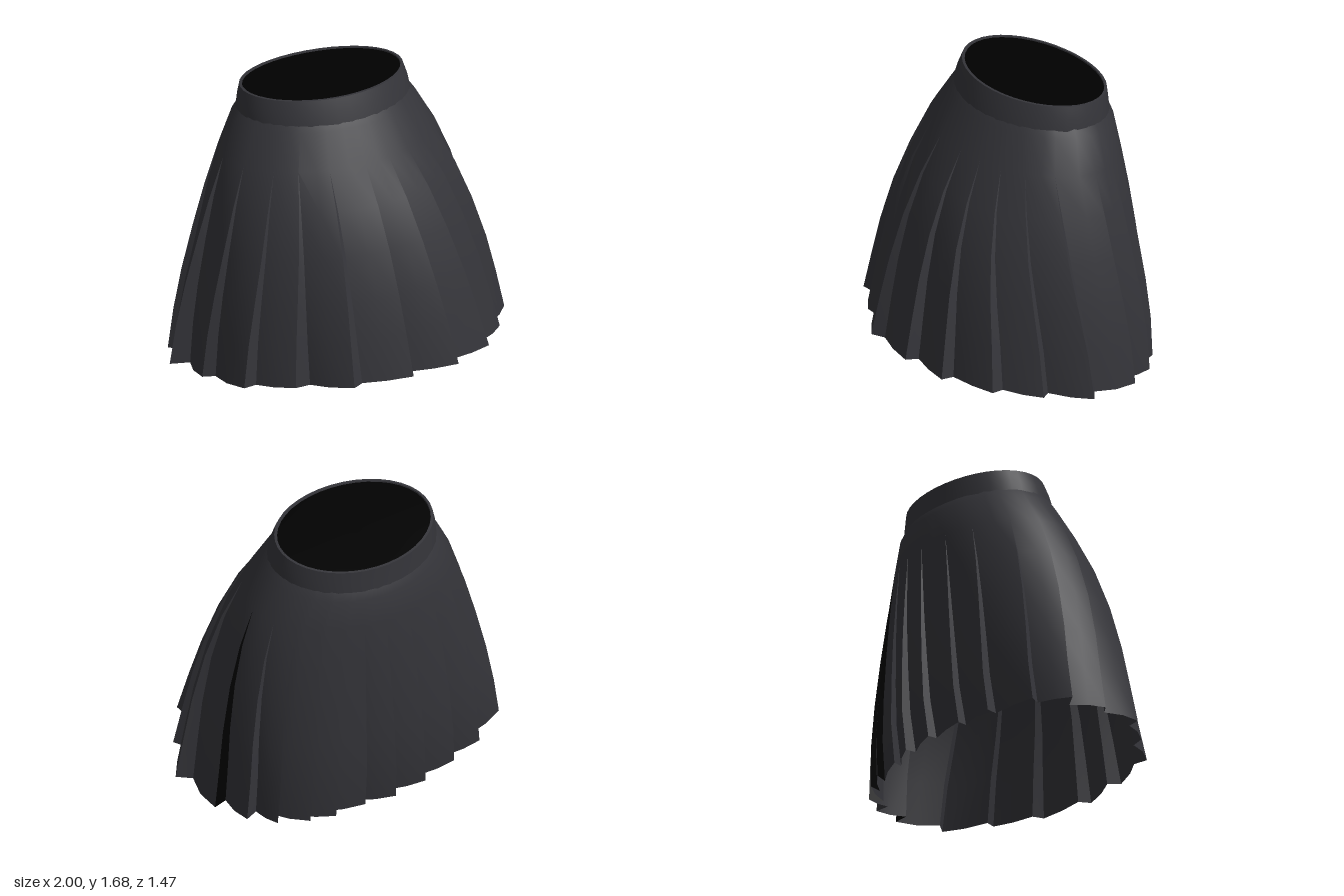
import * as THREE from 'three';
import { mergeGeometries, toCreasedNormals } from 'three/addons/utils/BufferGeometryUtils.js';

// Tilted oval rings, top to hem: [half width, front z, back z, front y, back y, pleat depth 0..1]
const RINGS = [
  [0.512, 0.13, -0.64, 1.57, 1.49, 0],
  [0.55, 0.165, -0.667, 1.52, 1.43, 0],
  [0.65, 0.27, -0.685, 1.33, 1.25, 0],
  [0.74, 0.405, -0.705, 1.12, 1.02, 0.26],
  [0.82, 0.52, -0.722, 0.88, 0.77, 0.48],
  [0.895, 0.61, -0.733, 0.62, 0.5, 0.69],
  [0.95, 0.67, -0.735, 0.4, 0.25, 0.85],
  [1.0, 0.73, -0.715, 0.155, 0.01, 1],
];

// Each pleat at the hem: outer corner x, z, then inner corner x, z; from the front towards +x
const PLEATS = [
  [-0.26, 0.7, -0.19, 0.655], [0.1, 0.73, 0.12, 0.65], [0.4, 0.7, 0.4, 0.615], [0.67, 0.54, 0.66, 0.46],
  [0.85, 0.31, 0.81, 0.25], [1.0, 0.06, 0.92, 0.0], [0.95, -0.27, 0.865, -0.25], [0.85, -0.45, 0.77, -0.42],
  [0.72, -0.57, 0.71, -0.48], [0.55, -0.65, 0.59, -0.57], [0.4, -0.69, 0.45, -0.615], [0.2, -0.69, 0.23, -0.63],
  [0.01, -0.72, 0.02, -0.65], [-0.21, -0.695, -0.2, -0.635], [-0.45, -0.63, -0.43, -0.57],
  [-0.67, -0.56, -0.64, -0.49], [-0.91, -0.4, -0.86, -0.34], [-1.0, -0.19, -0.89, -0.15],
  [-0.92, 0.07, -0.85, 0.1], [-0.79, 0.35, -0.71, 0.34], [-0.54, 0.51, -0.45, 0.51],
];
const DARK_FOLDS = [6, 8, 9, 10];

// Point on a ring at angle a, pushed in or out by scale s; the hem sags, the waist bows up
function ringPoint([rx, zf, zb, yf, yb, depth = 0], a, s = 1) {
  const x = rx * s * Math.cos(a);
  const z = (zf + zb) / 2 + ((zf - zb) / 2) * s * Math.sin(a);
  const k = (z - zb) / (zf - zb);
  const bow = (0.01 - 0.027 * depth) * 4 * Math.max(0, k * (1 - k));
  return [x, yb + (yf - yb) * k + bow, z];
}

// Skin between columns of points; columns run top to bottom, ordered left to right from outside
function skin(columns) {
  const rows = columns[0].length;
  const index = [];
  for (let c = 0; c < columns.length - 1; c++) {
    for (let r = 0; r < rows - 1; r++) {
      const a = c * rows + r, b = a + rows;
      index.push(a, a + 1, b + 1, a, b + 1, b);
    }
  }
  const g = new THREE.BufferGeometry();
  g.setAttribute('position', new THREE.Float32BufferAttribute(columns.flat(2), 3));
  g.setIndex(index);
  return g;
}

// Hem position as an angle and a scale of the hem oval, with the angle kept near a reference
function hemPolar(x, z, near) {
  const dz = (z - 0.0075) / 0.7225;
  const turn = Math.PI * 2;
  const a = Math.atan2(dz, x);
  return { a: a + turn * Math.round((near - a) / turn), s: Math.hypot(x, dz) };
}

// Column of a pleat: the folds drift towards the front as they rise
function pleatColumn({ a, s }, rings) {
  const c = Math.cos(a);
  return rings.map((ring) => {
    const w = ring[5];
    const angle = a + (1 - w) * (0.07 + 0.35 * c * Math.abs(c));
    return ringPoint(ring, angle, 1 + (s - 1) * w);
  });
}

// At the top the inner column joins the outer one, so the folds close into a plain yoke
function innerColumn(tip, inner) {
  return RINGS.map((ring) => {
    const w = ring[5];
    const a = tip.a + (inner.a - tip.a) * w;
    return pleatColumn({ a, s: inner.s }, [ring])[0];
  });
}

// Broad pleat faces and the narrow folds stepping inwards between them
function pleatParts() {
  let near = Math.PI / 2;
  const corners = [...PLEATS, PLEATS[0]].map(([x, z, ix, iz]) => {
    const tip = hemPolar(x, z, near);
    near = tip.a - 0.3;
    return { tip, inner: hemPolar(ix, iz, tip.a) };
  });
  const cloth = [], dark = [];
  for (let i = 0; i < PLEATS.length; i++) {
    const { tip, inner } = corners[i];
    const next = corners[i + 1].tip;
    const start = innerColumn(tip, inner);
    const middle = pleatColumn({ a: (inner.a + next.a) / 2, s: (inner.s + next.s) / 2 + 0.005 }, RINGS);
    cloth.push(skin([start, middle, pleatColumn(next, RINGS)]));
    const fold = skin([pleatColumn(tip, RINGS).slice(2), start.slice(2)]);
    (DARK_FOLDS.includes(i) ? dark : cloth).push(fold);
  }
  return [cloth, dark].map((list) => toCreasedNormals(mergeGeometries(list), 0.45));
}

// Closed band through a list of rings
function ovalBand(rings, segments = 40) {
  const columns = [];
  for (let i = 0; i <= segments; i++) {
    const a = (-i / segments) * Math.PI * 2;
    columns.push(rings.map((r) => ringPoint(r, a)));
  }
  return toCreasedNormals(skin(columns), 0.6);
}

// Tilted oval disc facing up
function ovalDisc(ring, segments = 40) {
  const pos = [0, (ring[3] + ring[4]) / 2 + 0.01, (ring[1] + ring[2]) / 2];
  const index = [];
  for (let i = 0; i < segments; i++) {
    pos.push(...ringPoint(ring, (i / segments) * Math.PI * 2));
    index.push(0, ((i + 1) % segments) + 1, i + 1);
  }
  const g = new THREE.BufferGeometry();
  g.setAttribute('position', new THREE.Float32BufferAttribute(pos, 3));
  g.setIndex(index);
  g.computeVertexNormals();
  return g;
}

export function createModel() {
  const cloth = new THREE.MeshStandardMaterial({ color: 0x343439, side: THREE.DoubleSide });
  cloth.name = 'charcoal cloth';
  const dark = new THREE.MeshStandardMaterial({ color: 0x000000, side: THREE.DoubleSide });
  dark.name = 'black lining';

  const group = new THREE.Group();
  group.name = 'pleatedSkirt';
  const add = (name, geometry, material) => {
    const mesh = new THREE.Mesh(geometry, material);
    mesh.name = name;
    group.add(mesh);
  };

  const [pleats, darkFolds] = pleatParts();
  add('pleats', pleats, cloth);
  add('darkFolds', darkFolds, dark);

  // Waistband with a thin rim folded inwards
  const waist = ovalBand([
    [0.472, 0.072, -0.617, 1.675, 1.597],
    [0.475, 0.075, -0.62, 1.69, 1.612],
    [0.49, 0.09, -0.635, 1.69, 1.61],
    [0.51, 0.12, -0.64, 1.62, 1.54],
    [0.522, 0.147, -0.648, 1.54, 1.46],
  ]);
  add('waistband', waist, cloth);

  // Dark opening at the waist
  add('waistOpening', ovalDisc([0.473, 0.073, -0.618, 1.682, 1.604]), dark);
  return group;
}
